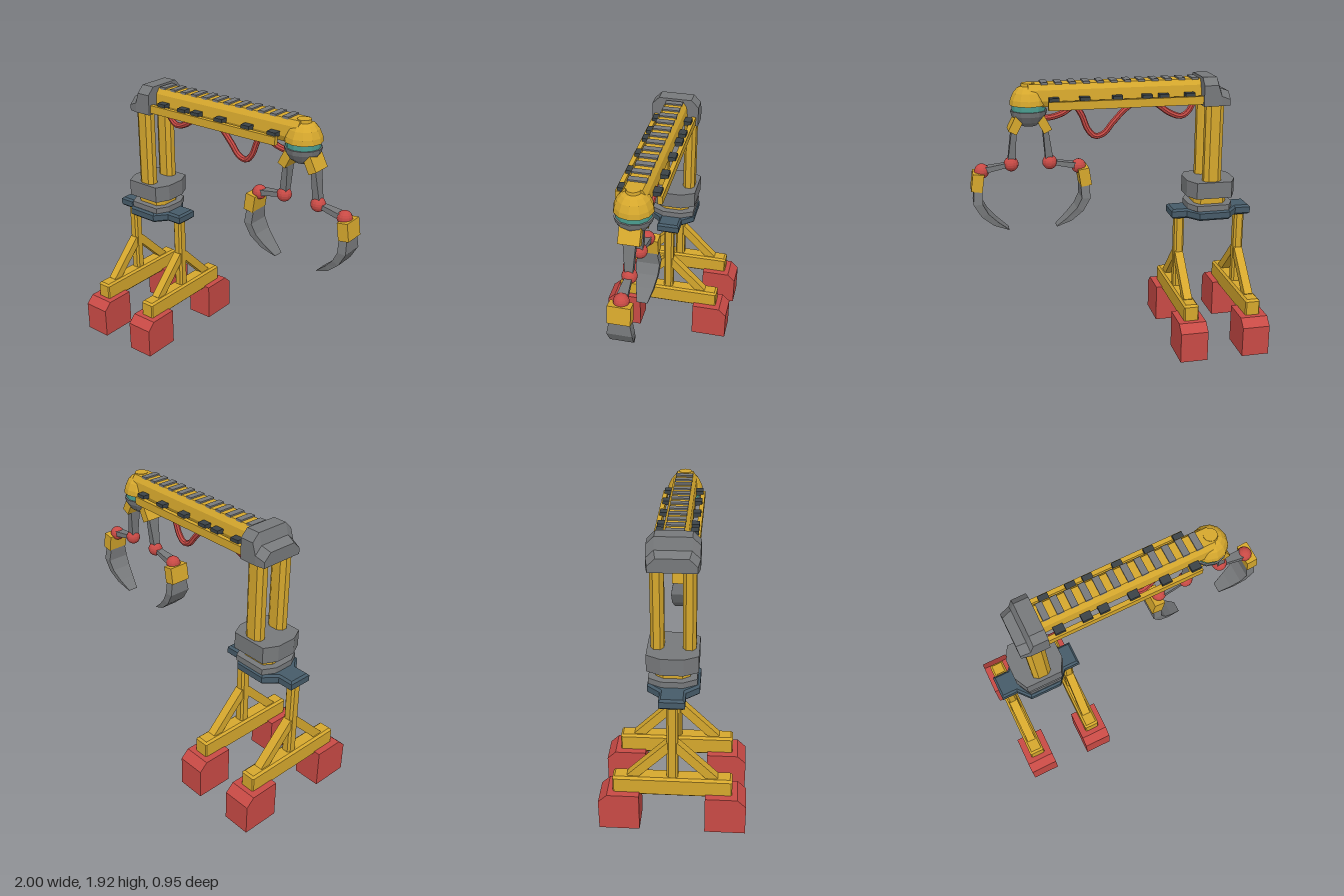
import * as THREE from 'three';

const mat = (name, color) => Object.assign(new THREE.MeshStandardMaterial({ color, flatShading: true }), { name });

export function createModel() {
  const yellow = mat('yellow paint', 0xd6a82d);
  const red = mat('red', 0xc84a45);
  const grey = mat('steel grey', 0x77797b);
  const slate = mat('slate blue', 0x465b69);
  const dark = mat('dark grey', 0x3b4347);
  const teal = mat('teal', 0x4a9d90);

  const root = new THREE.Group();
  root.name = 'craneRobot';
  const add = (parent, name, geo, material, x = 0, y = 0, z = 0) => {
    const m = new THREE.Mesh(geo, material);
    m.name = name;
    m.position.set(x, y, z);
    parent.add(m);
    return m;
  };
  const group = (parent, name, x = 0, y = 0, z = 0) => {
    const g = new THREE.Group();
    g.name = name;
    g.position.set(x, y, z);
    parent.add(g);
    return g;
  };
  const box = (w, h, d) => new THREE.BoxGeometry(w, h, d);
  const shape = pts => new THREE.Shape(pts.map(p => new THREE.Vector2(...p)));

  // upright prism standing on y = 0 from an outline in x and z
  const prism = (pts, h, bevel = 0) => new THREE.ExtrudeGeometry(shape(pts), {
    depth: h - 2 * bevel, bevelEnabled: bevel > 0, bevelSize: bevel,
    bevelThickness: bevel, bevelOffset: -bevel, bevelSegments: 1,
  }).translate(0, 0, bevel).rotateX(-Math.PI / 2);

  // rectangle with cut corners
  const octagon = (a, b, ca, cb) => [
    [a, -b + cb], [a, b - cb], [a - ca, b], [-a + ca, b],
    [-a, b - cb], [-a, -b + cb], [-a + ca, -b], [a - ca, -b]];

  // closed skin over equal rings of points
  const loft = rings => {
    const n = rings[0].length, last = (rings.length - 1) * n, idx = [];
    for (let i = 0; i < rings.length - 1; i++) for (let j = 0; j < n; j++) {
      const a = i * n + j, b = i * n + (j + 1) % n;
      idx.push(a, b, b + n, a, b + n, a + n);
    }
    for (let j = 1; j < n - 1; j++) idx.push(0, j + 1, j, last, last + j, last + j + 1);
    const g = new THREE.BufferGeometry();
    g.setAttribute('position', new THREE.Float32BufferAttribute(rings.flat(2), 3));
    g.setIndex(idx);
    const flat = g.toNonIndexed();
    flat.computeVertexNormals();
    return flat;
  };
  // ring across x from (y, z) points, mirrored in z
  const ring = (x, pts) => [
    ...pts.map(([y, z]) => [x, y, z]),
    ...[...pts].reverse().map(([y, z]) => [x, y, -z])];
  // ring from two edge points in the xy plane and a half depth
  const slab = (o, i, z) => [[...o, z], [...i, z], [...i, -z], [...o, -z]];
  // tapered bar in the xy plane; w and d are half sizes at each end
  const bar = (p, q, w0, d0, w1 = w0, d1 = d0) => {
    const len = Math.hypot(q[0] - p[0], q[1] - p[1]);
    const n = [-(q[1] - p[1]) / len, (q[0] - p[0]) / len];
    const end = (c, w, d) => slab([c[0] + n[0] * w, c[1] + n[1] * w], [c[0] - n[0] * w, c[1] - n[1] * w], d);
    return loft([end(p, w0, d0), end(q, w1, d1)]);
  };

  // two trestle legs, each with two feet
  for (const x of [-0.903, -0.453]) {
    const leg = group(root, 'trestleLeg', x);
    add(leg, 'crossBeam', prism(octagon(0.0525, 0.385, 0.008, 0.008), 0.14, 0.015), yellow, 0, 0.245);
    add(leg, 'post', prism(octagon(0.035, 0.036, 0.014, 0.014), 0.55), yellow, 0, 0.38);
    for (const s of [-1, 1]) {
      const turn = -s * Math.PI / 2;
      add(leg, 'brace', bar([0.27, 0.37], [0.01, 0.635], 0.03, 0.03).rotateY(turn), yellow);
      const foot = new THREE.ExtrudeGeometry(
        shape([[0.212, 0], [0.477, 0], [0.477, 0.215], [0.42, 0.27], [0.212, 0.27]]),
        { depth: 0.195, bevelEnabled: false });
      add(leg, 'foot', foot.translate(0, 0, -0.0975).rotateY(turn), red);
    }
  }

  // platform with a tab over each leg
  const quarter = [[0.29, 0.082], [0.18, 0.082], [0.11, 0.165]];
  const half = [...quarter, ...[...quarter].reverse().map(([x, z]) => [-x, z])];
  const plate = [...half, ...[...half].reverse().map(([x, z]) => [x, -z])];
  add(root, 'platform', prism(plate, 0.07, 0.014), slate, -0.67, 0.92);

  // turntable and twin columns
  const upper = group(root, 'upperBody', 0, 0, -0.006);
  const tower = group(upper, 'tower', -0.658);
  add(tower, 'lowerRing', prism(octagon(0.16, 0.153, 0.045, 0.085), 0.04), grey, 0, 0.99);
  add(tower, 'neck', prism(octagon(0.115, 0.11, 0.035, 0.05), 0.06), yellow, 0, 1.028);
  add(tower, 'collar', prism(octagon(0.172, 0.163, 0.047, 0.093), 0.115), grey, 0, 1.085);
  for (const s of [-1, 1])
    add(tower, 'column', prism(octagon(0.0625, 0.042, 0.03, 0.022), 0.56), yellow, 0.005, 1.19, s * 0.1);

  // elbow cap on the columns
  const cap = [[-0.75, 1.825, 0.15], [-0.685, 1.85, 0.163], [-0.66, 1.925, 0.163], [-0.562, 1.925, 0.163]];
  add(upper, 'elbowCap', loft(cap.map(([x, top, z]) =>
    ring(x, [[top, z - 0.05], [top - 0.05, z], [1.735, z]]))), grey);

  // boom with ribs, side rails and spacers
  const boom = group(upper, 'boom');
  const section = [[1.907, 0.055], [1.87, 0.08], [1.80, 0.088], [1.76, 0.07]];
  add(boom, 'mainBeam', loft([ring(-0.57, section), ring(0.6, section)]), yellow);
  for (let i = 0; i < 12; i++)
    add(boom, 'rib', box(0.045, 0.062, 0.118), grey, -0.524 + i * 0.0925, 1.886);
  for (const s of [-1, 1]) {
    add(boom, 'sideRail', box(1.045, 0.055, 0.03), yellow, -0.043, 1.775, s * 0.132);
    for (const x of [-0.475, -0.295, -0.18, 0.02, 0.237, 0.44])
      add(boom, 'spacer', box(0.066, 0.03, 0.06), dark, x, 1.81, s * 0.105);
  }

  // hose slung below the boom
  const hose = [[-0.55, 1.77], [-0.5, 1.675], [-0.45, 1.645], [-0.37, 1.67], [-0.26, 1.745], [-0.17, 1.77],
    [-0.07, 1.72], [0.03, 1.62], [0.09, 1.55], [0.15, 1.533], [0.2, 1.58], [0.245, 1.69], [0.29, 1.745],
    [0.37, 1.70], [0.46, 1.675], [0.55, 1.68]].map(([x, y]) => new THREE.Vector3(x, y, 0));
  add(boom, 'hose', new THREE.TubeGeometry(new THREE.CatmullRomCurve3(hose), 60, 0.021, 8), red);

  // wrist dome
  const wrist = group(upper, 'wrist', 0.595);
  const lathe = pts => new THREE.LatheGeometry(pts.map(p => new THREE.Vector2(...p)), 12);
  add(wrist, 'dome', lathe([[0, 1.77], [0.125, 1.77], [0.12, 1.805], [0.1, 1.85], [0.075, 1.878], [0.05, 1.89], [0, 1.89]]), yellow);
  add(wrist, 'domeButton', new THREE.CylinderGeometry(0.045, 0.05, 0.04, 12), yellow, 0, 1.89);
  add(wrist, 'glowBand', new THREE.CylinderGeometry(0.112, 0.112, 0.046, 12), teal, 0, 1.751);
  add(wrist, 'lowerBowl', lathe([[0, 1.625], [0.05, 1.63], [0.09, 1.66], [0.115, 1.70], [0.123, 1.733], [0, 1.733]]), grey);

  // two facing grippers
  for (const turn of [0, Math.PI]) {
    const grip = group(wrist, 'gripper');
    grip.rotation.y = turn;
    add(grip, 'mount', box(0.06, 0.11, 0.135), yellow, 0.092, 1.642).rotation.z = 0.48;
    add(grip, 'upperArm', bar([0.102, 1.63], [0.128, 1.38], 0.016, 0.042, 0.026, 0.024), grey);
    add(grip, 'forearm', bar([0.13, 1.37], [0.325, 1.338], 0.014, 0.02, 0.02, 0.036), grey);
    for (const [x, y] of [[0.13, 1.37], [0.327, 1.332]])
      add(grip, 'jointBall', new THREE.SphereGeometry(0.05, 14, 10), red, x, y);
    add(grip, 'clamp', box(0.075, 0.12, 0.145), yellow, 0.36, 1.266).rotation.z = 0.15;
    add(grip, 'claw', loft([
      slab([0.387, 1.23], [0.33, 1.23], 0.06),
      slab([0.395, 1.12], [0.335, 1.12], 0.08),
      slab([0.345, 1.03], [0.30, 1.05], 0.075),
      slab([0.265, 0.96], [0.24, 0.985], 0.06),
      slab([0.163, 0.914], [0.168, 0.922], 0.038)]), grey);
  }
  return root;
}
